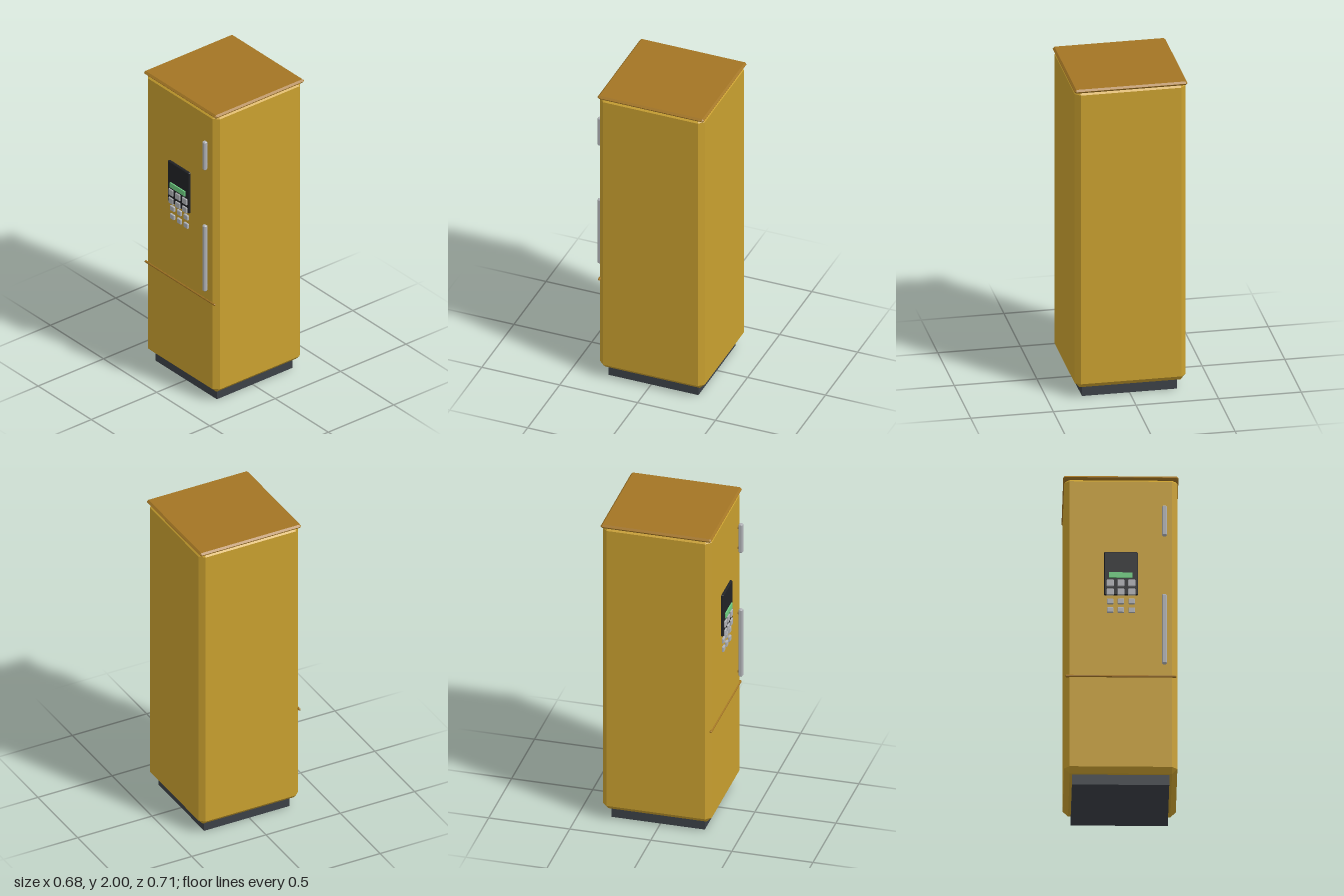
import * as THREE from 'three';
import { ConvexGeometry } from 'three/addons/geometries/ConvexGeometry.js';

const material = (name, color) => {
  const m = new THREE.MeshStandardMaterial({ color });
  m.name = name;
  return m;
};

// Box with every edge and corner cut flat by c; ranges are [min, max]
function chamferBox([x0, x1], [y0, y1], [z0, z1], c) {
  const points = [];
  for (const [x, sx] of [[x0, 1], [x1, -1]])
    for (const [y, sy] of [[y0, 1], [y1, -1]])
      for (const [z, sz] of [[z0, 1], [z1, -1]]) {
        points.push(
          new THREE.Vector3(x, y + sy * c, z + sz * c),
          new THREE.Vector3(x + sx * c, y, z + sz * c),
          new THREE.Vector3(x + sx * c, y + sy * c, z)
        );
      }
  return new ConvexGeometry(points);
}

function plainBox([x0, x1], [y0, y1], [z0, z1]) {
  return new THREE.BoxGeometry(x1 - x0, y1 - y0, z1 - z0)
    .translate((x0 + x1) / 2, (y0 + y1) / 2, (z0 + z1) / 2);
}

export function createModel() {
  const group = new THREE.Group();
  group.name = 'refrigerator';

  const gold = material('gold enamel', 0xc9a02f);
  const brown = material('brown trim', 0xa37524);
  const dark = material('dark plinth', 0x3c4147);
  const black = material('black panel', 0x222326);
  const grey = material('grey metal', 0xb0b2b6);
  const green = material('green display', 0x6fcf82);

  const add = (name, geometry, mat, parent = group) => {
    const mesh = new THREE.Mesh(geometry, mat);
    mesh.name = name;
    parent.add(mesh);
    return mesh;
  };

  // Cabinet, plinth and top cap
  add('plinth', plainBox([-0.288, 0.288], [0, 0.075], [-0.303, 0.273]), dark);
  add('cabinet', chamferBox([-0.336, 0.336], [0.065, 1.995], [-0.351, 0.321], 0.032), gold);
  add('topCap', chamferBox([-0.342, 0.342], [1.976, 2], [-0.357, 0.327], 0.011), brown);

  // Line between the upper and lower doors
  add('doorSeam', chamferBox([-0.329, 0.329], [0.681, 0.695], [0.313, 0.327], 0.004), brown);

  // Door handles on short posts
  for (const [name, y0, y1] of [['upperHandle', 1.6, 1.795], ['lowerHandle', 0.762, 1.217]]) {
    const handle = new THREE.Group();
    handle.name = name;
    group.add(handle);
    add('grip', chamferBox([0.244, 0.272], [y0, y1], [0.329, 0.354], 0.006), grey, handle);
    for (const y of [y0 + 0.03, y1 - 0.03])
      add('post', plainBox([0.252, 0.264], [y - 0.006, y + 0.006], [0.315, 0.333]), brown, handle);
  }

  // Control panel with display
  add('controlPanel', chamferBox([-0.1, 0.1], [1.216, 1.497], [0.315, 0.335], 0.005), black);
  add('display', plainBox([-0.07, 0.07], [1.326, 1.359], [0.334, 0.343]), green);

  // Keypad: two rows on the panel, two smaller rows on the door
  const keypad = new THREE.Group();
  keypad.name = 'keypad';
  group.add(keypad);
  const rows = [
    { y: 1.291, w: 0.043, h: 0.042, z: [0.325, 0.343] },
    { y: 1.233, w: 0.043, h: 0.04, z: [0.325, 0.343] },
    { y: 1.176, w: 0.038, h: 0.034, z: [0.315, 0.333] },
    { y: 1.119, w: 0.038, h: 0.034, z: [0.315, 0.333] }
  ];
  for (const { y, w, h, z } of rows)
    for (const x of [-0.064, 0, 0.064])
      add('key', chamferBox([x - w / 2, x + w / 2], [y - h / 2, y + h / 2], z, 0.003), grey, keypad);

  return group;
}
